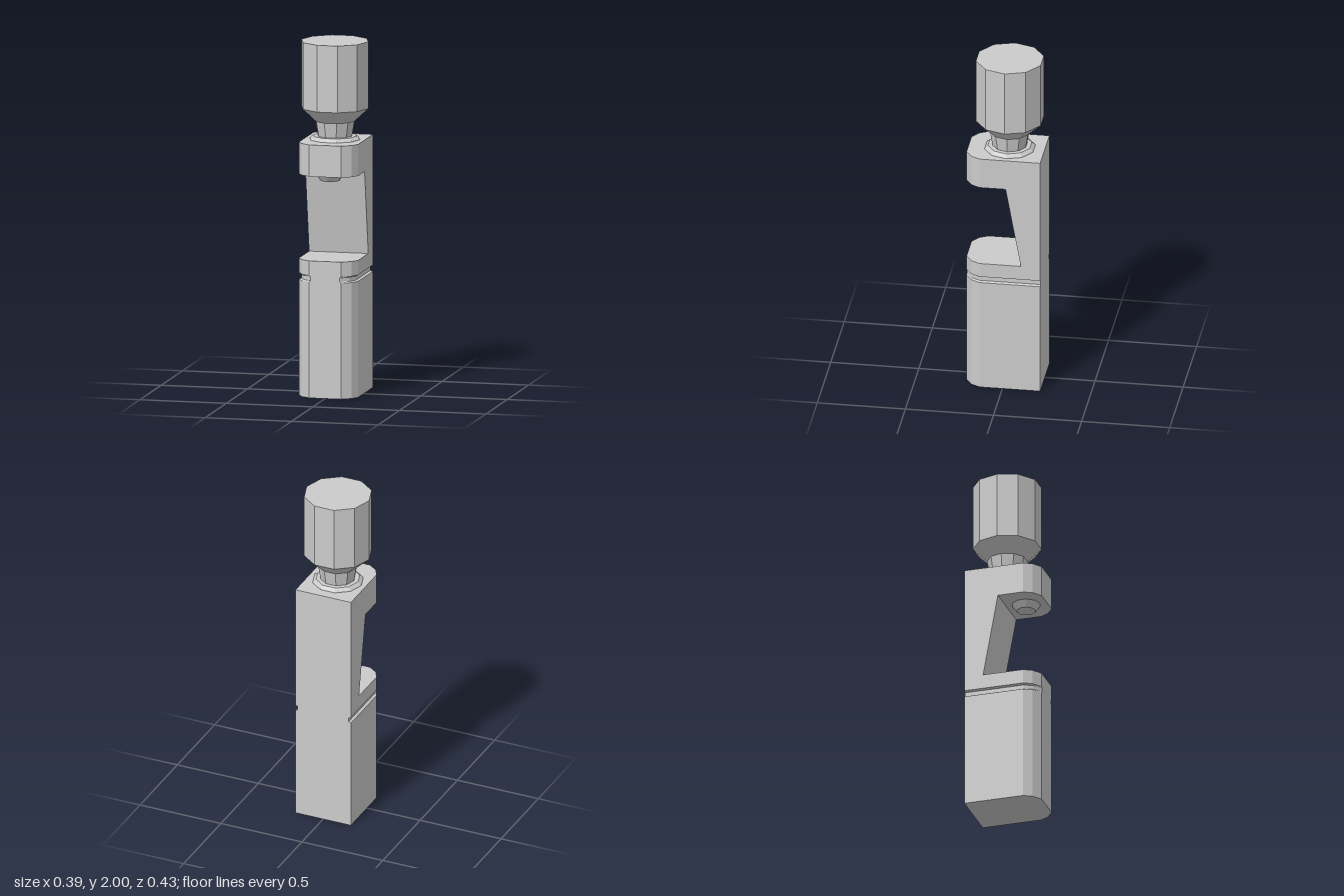
import * as THREE from 'three';

const material = new THREE.MeshStandardMaterial({ color: 0xcccccc, flatShading: true });

// Footprint of the block: square at the back, chamfered at the front (x, z)
const half = [[0.092, 0.215], [0.145, 0.178], [0.171, 0.13], [0.171, -0.215]];
const footprint = [...half, ...half.map(([x, z]) => [-x, z]).reverse()];

// Levels of the block: height, width scale, furthest z the section may reach
const levels = [
  [0, 1, 1], [0.66, 1, 1],
  [0.667, 0.92, 1], [0.69, 0.92, 1], // groove on the sides
  [0.697, 1, 1], [0.78, 1, 1],
  [0.78, 1, -0.105], [1.26, 1, -0.018], // sloped web behind the mouth
  [1.26, 1, 1], [1.44, 1, 1],
];

function loftBody() {
  const n = footprint.length;
  const positions = [];
  const index = [];
  for (const [y, scale, maxZ] of levels) {
    for (const [x, z] of footprint) positions.push(x * scale, y, Math.min(z, maxZ));
  }
  for (let l = 0; l < levels.length - 1; l++) {
    for (let i = 0; i < n; i++) {
      const a = l * n + i, b = l * n + (i + 1) % n;
      // the straight sides and back have no area where a step is level
      const step = levels[l][0] === levels[l + 1][0];
      if (step && i >= 2 && i <= 4) continue;
      index.push(a, b, b + n, a, b + n, a + n);
    }
  }
  const top = (levels.length - 1) * n;
  for (let i = 1; i < n - 1; i++) {
    index.push(0, i + 1, i, top, top + i, top + i + 1);
  }
  const indexed = new THREE.BufferGeometry();
  indexed.setAttribute('position', new THREE.Float32BufferAttribute(positions, 3));
  indexed.setIndex(index);
  const geometry = indexed.toNonIndexed();
  geometry.computeVertexNormals();
  return geometry;
}

// Ten-sided turned part; profile is [radius, y] from bottom to top
function turned(name, profile, z, turn) {
  const points = profile.map(([r, y]) => new THREE.Vector2(r, y));
  const mesh = new THREE.Mesh(new THREE.LatheGeometry(points, 10), material);
  mesh.name = name;
  mesh.position.z = z;
  mesh.rotation.y = turn;
  return mesh;
}

export function createModel() {
  const model = new THREE.Group();
  model.name = 'clampTool';

  // Lower block, web and upper jaw in one piece
  const body = new THREE.Mesh(loftBody(), material);
  body.name = 'body';
  model.add(body);

  // Collar, neck and knob above the jaw
  const knobZ = -0.017, turn = Math.PI / 10;
  model.add(turned('collar', [[0.145, 1.44], [0.143, 1.445], [0.125, 1.46], [0, 1.46]], knobZ, turn));
  model.add(turned('knob', [
    [0.098, 1.455], [0.113, 1.545], [0.193, 1.62], [0.193, 2], [0, 2],
  ], knobZ, turn));

  // Pressing tip under the jaw
  model.add(turned('pressingTip', [[0, 1.222], [0.054, 1.222], [0.081, 1.26]], 0.094, 0));

  return model;
}
